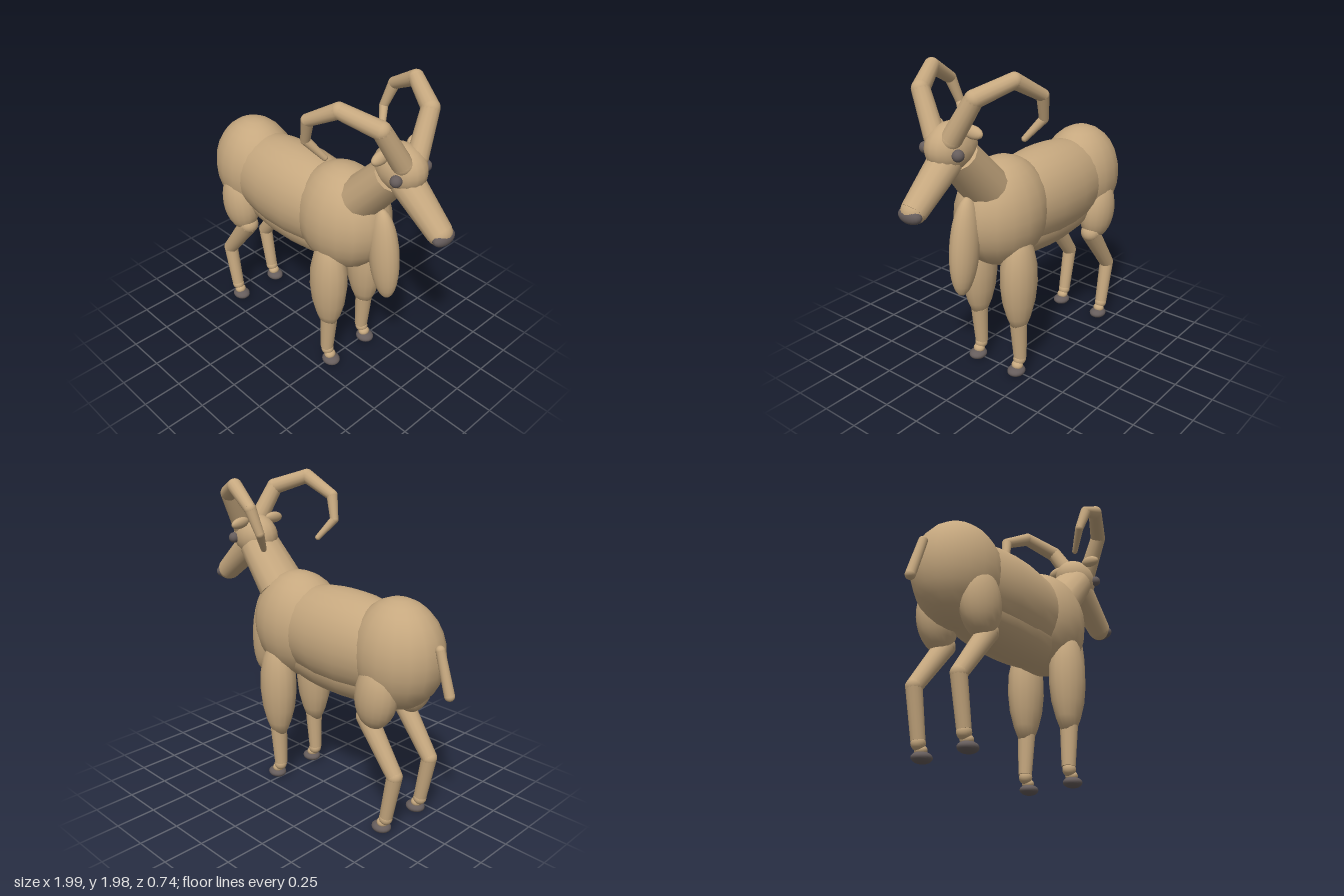
import * as THREE from 'three';

const hide = new THREE.MeshStandardMaterial({ color: 0xc6a87f });
hide.name = 'tan hide';
const dark = new THREE.MeshStandardMaterial({ color: 0x665d5c });
dark.name = 'dark grey horny skin';

export function createModel() {
  const root = new THREE.Group();
  root.name = 'hornedGoat';

  const add = (parent, name, geometry, material) => {
    const mesh = new THREE.Mesh(geometry, material);
    mesh.name = name;
    parent.add(mesh);
    return mesh;
  };

  const ellipsoid = (parent, name, pos, radii, material = hide, tilt = 0) => {
    const m = add(parent, name, new THREE.SphereGeometry(1, 18, 14), material);
    m.position.set(...pos);
    m.scale.set(...radii);
    m.rotation.z = tilt;
    return m;
  };

  // Tapered limb between two points, radius ra at a and rb at b
  const limb = (parent, name, a, b, ra, rb, zScale = 1) => {
    const from = new THREE.Vector3(...a), to = new THREE.Vector3(...b);
    const dir = to.clone().sub(from);
    const m = add(parent, name, new THREE.CylinderGeometry(rb, ra, dir.length(), 14), hide);
    m.position.copy(from).add(to).multiplyScalar(0.5);
    m.quaternion.setFromUnitVectors(new THREE.Vector3(0, 1, 0), dir.normalize());
    m.scale.z = zScale;
    return m;
  };

  // Chain of limbs with a ball at every joint
  const chain = (parent, name, points, radii) => {
    points.forEach((p, i) => {
      ellipsoid(parent, name + 'Joint', p, [radii[i], radii[i], radii[i]]);
      if (i) limb(parent, name + 'Segment', points[i - 1], p, radii[i - 1], radii[i]);
    });
  };

  // Trunk
  const body = new THREE.Group();
  body.name = 'body';
  root.add(body);
  ellipsoid(body, 'rump', [-0.6, 1.08, 0], [0.29, 0.33, 0.25]);
  ellipsoid(body, 'barrel', [-0.2, 1.07, 0], [0.65, 0.305, 0.258]);
  ellipsoid(body, 'belly', [-0.18, 0.91, 0], [0.6, 0.2, 0.2]);
  ellipsoid(body, 'chest', [0.21, 1.07, 0], [0.32, 0.34, 0.26]);
  ellipsoid(body, 'dewlap', [0.545, 0.945, 0], [0.1, 0.302, 0.08], hide, 0.12);
  chain(body, 'tail', [[-0.892, 1.175, 0], [-0.97, 0.93, 0]], [0.027, 0.03]);

  // Neck and head
  const head = new THREE.Group();
  head.name = 'head';
  root.add(head);
  limb(head, 'neck', [0.375, 1.28, 0], [0.59, 1.52, 0], 0.135, 0.115, 1.2);
  ellipsoid(head, 'skull', [0.625, 1.57, 0], [0.165, 0.14, 0.125]);
  limb(head, 'muzzle', [0.67, 1.5, 0], [0.925, 1.285, 0], 0.095, 0.073, 1.05);
  ellipsoid(head, 'muzzleTip', [0.92, 1.29, 0], [0.07, 0.07, 0.075]);
  ellipsoid(head, 'nose', [0.949, 1.275, 0], [0.044, 0.047, 0.08], dark);

  const hoofAt = (leg, x, z) => {
    ellipsoid(leg, 'pastern', [x - 0.01, 0.07, z], [0.035, 0.03, 0.038]);
    ellipsoid(leg, 'hoof', [x, 0.034, z], [0.062, 0.032, 0.055], dark);
  };

  for (const s of [1, -1]) {
    const side = s > 0 ? 'left' : 'right';

    // Eye, ear and swept-back horn
    ellipsoid(head, side + 'Eye', [0.7, 1.56, s * 0.12], [0.034, 0.034, 0.034], dark);
    const ear = ellipsoid(head, side + 'Ear', [0.605, 1.67, s * 0.14], [0.028, 0.037, 0.068], hide, 0.3);
    ear.rotation.x = s * 0.1;
    const horn = new THREE.Group();
    horn.name = side + 'Horn';
    head.add(horn);
    chain(horn, 'horn', [
      [0.687, 1.63, s * 0.06], [0.645, 1.86, s * 0.19], [0.45, 1.937, s * 0.295],
      [0.262, 1.83, s * 0.337], [0.215, 1.685, s * 0.31], [0.28, 1.572, s * 0.228],
    ], [0.06, 0.052, 0.045, 0.036, 0.027, 0.018]);

    const z = s * 0.16;

    // Front leg
    const front = new THREE.Group();
    front.name = side + 'FrontLeg';
    root.add(front);
    const profile = [[0, 0.34], [0.052, 0.342], [0.085, 0.42], [0.113, 0.52], [0.127, 0.64],
      [0.124, 0.76], [0.1, 0.87], [0.055, 0.96], [0, 0.975]].map(p => new THREE.Vector2(...p));
    const upper = add(front, 'foreShoulder', new THREE.LatheGeometry(profile, 16), hide);
    upper.position.set(0.25, 0, z);
    upper.scale.z = 0.84;
    limb(front, 'foreCannon', [0.255, 0.37, z], [0.24, 0.12, z], 0.055, 0.042);
    ellipsoid(front, 'foreFetlock', [0.245, 0.105, z], [0.042, 0.042, 0.04]);
    hoofAt(front, 0.278, z);

    // Hind leg
    const hind = new THREE.Group();
    hind.name = side + 'HindLeg';
    root.add(hind);
    ellipsoid(hind, 'thigh', [-0.585, 0.865, z], [0.137, 0.21, 0.11], hide, 0.12);
    chain(hind, 'hindShank', [[-0.515, 0.71, z], [-0.737, 0.405, z]], [0.063, 0.048]);
    limb(hind, 'hindCannon', [-0.738, 0.405, z], [-0.685, 0.12, z], 0.047, 0.04);
    ellipsoid(hind, 'hindFetlock', [-0.682, 0.105, z], [0.042, 0.042, 0.04]);
    hoofAt(hind, -0.65, z);
  }
  return root;
}
